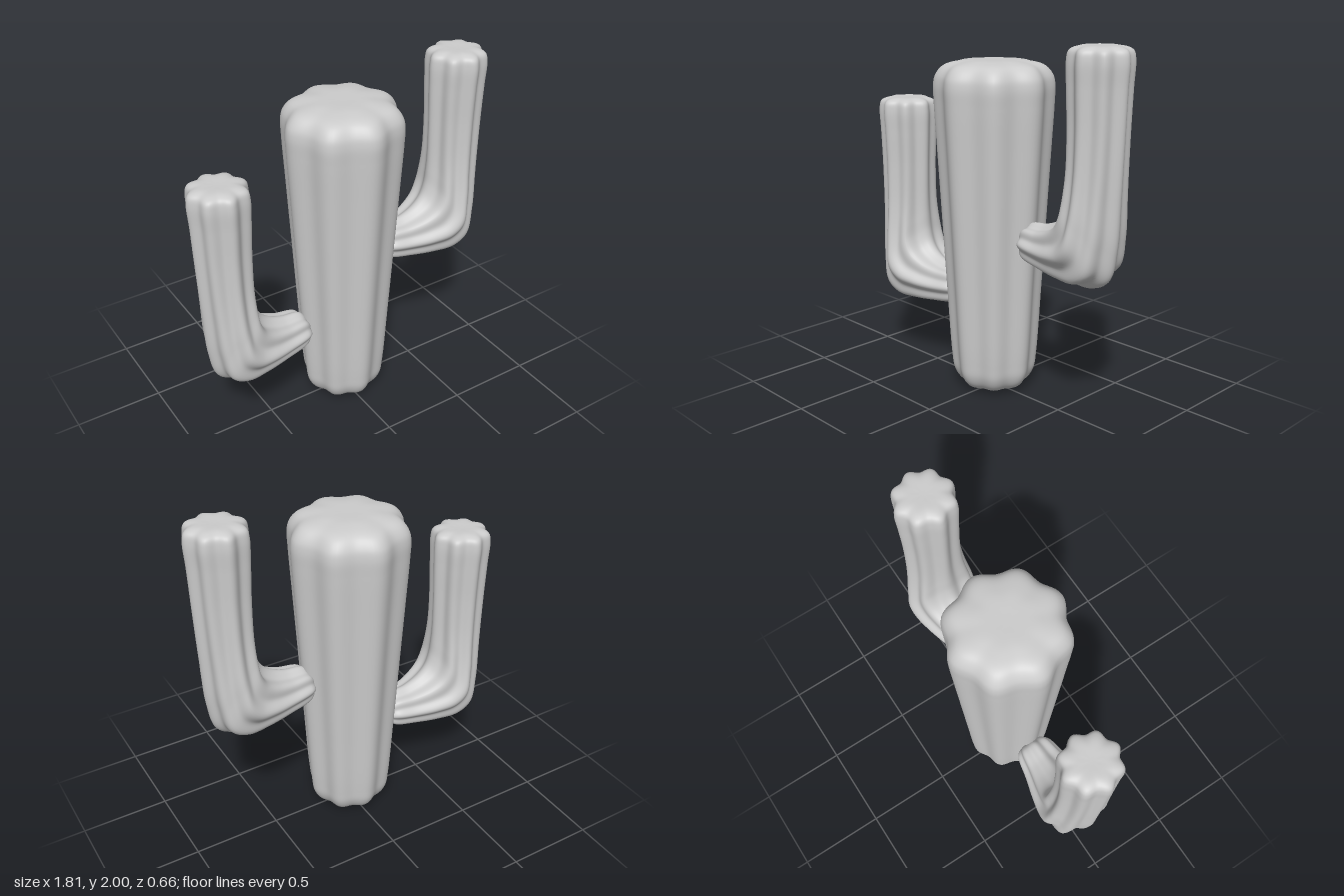
import * as THREE from 'three';

const RIBS = 8;
const material = new THREE.MeshStandardMaterial({ color: 0xcccccc });

// Smooth ribbed skin over sections [x1, y1, x2, y2, zRadius]: two opposite
// edge points in the xy plane plus the half width in z.
function ribbedLoft(name, sections, ribDepth, steps, sides = 96) {
  const edgeA = new THREE.CatmullRomCurve3(sections.map(s => new THREE.Vector3(s[0], s[1], s[4])));
  const edgeB = new THREE.CatmullRomCurve3(sections.map(s => new THREE.Vector3(s[2], s[3], s[4])));
  const positions = [], index = [];
  for (let i = 0; i <= steps; i++) {
    const a = edgeA.getPoint(i / steps), b = edgeB.getPoint(i / steps);
    for (let j = 0; j < sides; j++) {
      const angle = (j / sides) * Math.PI * 2;
      const rib = 1 - ribDepth * (1 - Math.cos(RIBS * angle)) / 2;
      const c = Math.cos(angle) * rib / 2, s = Math.sin(angle) * rib;
      positions.push((a.x + b.x) / 2 + (b.x - a.x) * c, (a.y + b.y) / 2 + (b.y - a.y) * c, a.z * s);
      if (i < steps) {
        const p = i * sides + j, q = i * sides + (j + 1) % sides;
        index.push(p, p + sides, q, q, p + sides, q + sides);
      }
    }
  }
  const geometry = new THREE.BufferGeometry();
  geometry.setAttribute('position', new THREE.Float32BufferAttribute(positions, 3));
  geometry.setIndex(index);
  geometry.computeVertexNormals();
  const mesh = new THREE.Mesh(geometry, material);
  mesh.name = name;
  return mesh;
}

export function createModel() {
  const group = new THREE.Group();
  group.name = 'cactus';

  // Trunk: [radius, height], widening upwards with rounded ends
  const trunk = [
    [0, 0.005], [0.12, 0.012], [0.195, 0.05], [0.23, 0.11], [0.243, 0.2], [0.268, 0.6], [0.291, 1],
    [0.314, 1.4], [0.328, 1.65], [0.33, 1.75], [0.318, 1.8], [0.275, 1.85], [0.17, 1.877], [0, 1.88],
  ].map(([r, y]) => [-r, y, r, y, r]);
  group.add(ribbedLoft('trunk', trunk, 0.1, 104));

  // Arm: inner edge, outer edge and half depth from the trunk round the elbow to the tip
  const arm = [
    [0.25, 0.92, 0.25, 0.92, 0],
    [0.25, 0.975, 0.25, 0.86, 0.07],
    [0.29, 1.03, 0.285, 0.82, 0.11],
    [0.4, 1.047, 0.42, 0.79, 0.14],
    [0.49, 1.085, 0.57, 0.77, 0.175],
    [0.545, 1.14, 0.72, 0.765, 0.2],
    [0.57, 1.21, 0.82, 0.82, 0.208],
    [0.578, 1.3, 0.862, 0.98, 0.19],
    [0.58, 1.4, 0.878, 1.25, 0.169],
    [0.575, 1.6, 0.89, 1.55, 0.16],
    [0.567, 1.8, 0.898, 1.8, 0.166],
    [0.565, 1.93, 0.904, 1.93, 0.17],
    [0.575, 1.975, 0.894, 1.975, 0.16],
    [0.615, 1.997, 0.855, 1.997, 0.12],
    [0.735, 2, 0.735, 2, 0],
  ];
  const leftArm = ribbedLoft('leftArm', arm, 0.14, 112);

  // The other arm is the same shape turned round and set lower
  const rightArm = leftArm.clone();
  rightArm.name = 'rightArm';
  rightArm.rotation.y = Math.PI;
  rightArm.position.y = -0.39;

  group.add(leftArm, rightArm);
  return group;
}
